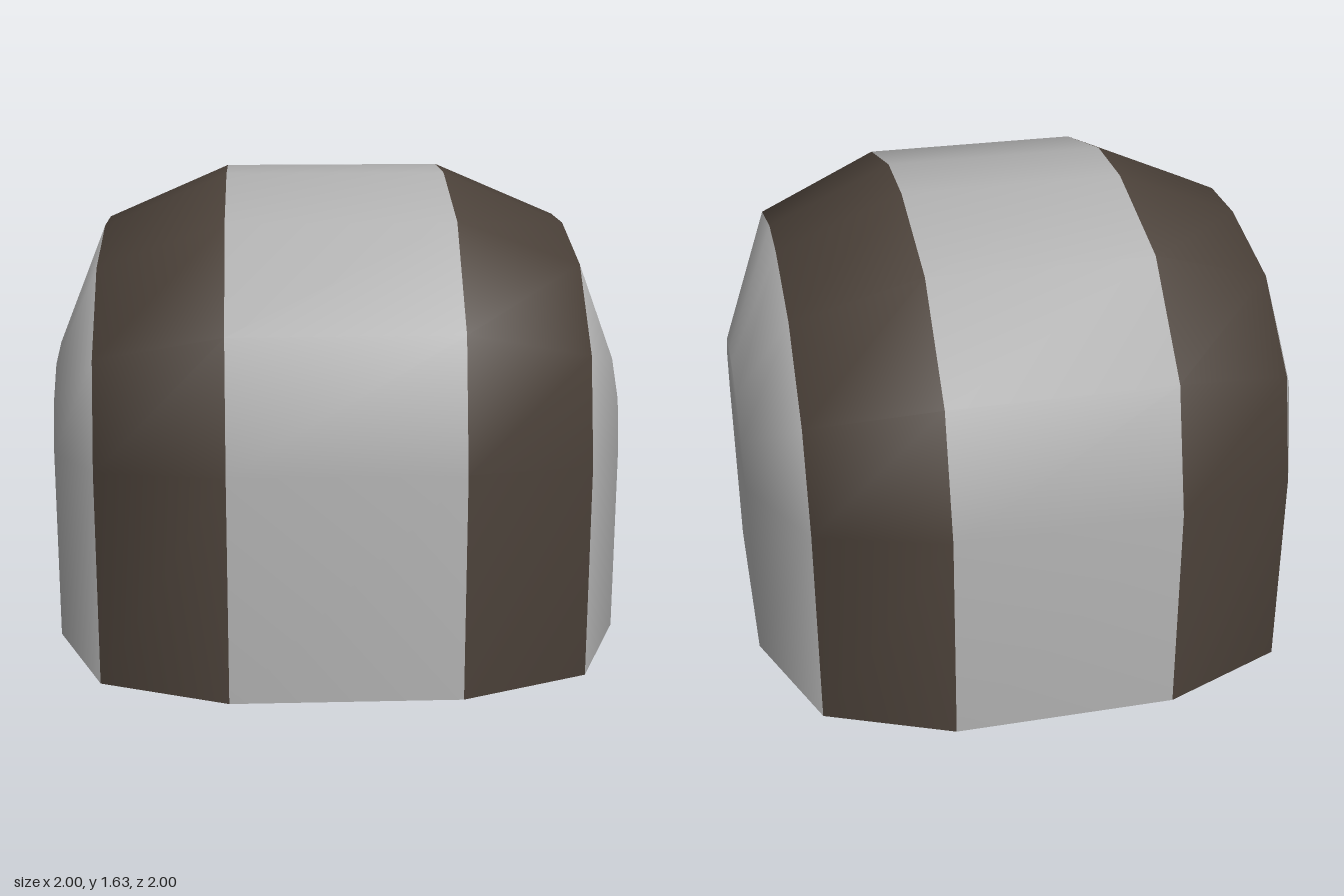
import * as THREE from 'three';

// Arch half-profile for unit width: [z, height above the straight wall]
const ARCH = [[1, 0], [0.89, 0.43], [0.577, 0.747], [0.14, 0.86]];
// Cross-sections across x: [x, half depth, wall height]
const HALF = [[0.385, 1, 0.77], [0.82, 0.82, 0.74], [1, 0.38, 0.68]];
const SECTIONS = [...HALF.map(([x, r, h]) => [-x, r, h]).reverse(), ...HALF];

// Points of one arch from the front foot, over the top, to the back foot
function archPoints([x, r, h]) {
  const front = [[x, 0, r], ...ARCH.map(([z, y]) => [x, h + y * r, z * r])];
  const back = front.map(([px, y, z]) => [px, y, -z]).reverse();
  return [...front, ...back];
}

function shellGeometry() {
  const rows = SECTIONS.map(archPoints);
  const n = rows[0].length;
  const last = rows.length - 1;
  const geo = new THREE.BufferGeometry();
  const index = [];
  const quad = (a, b, c, d) => index.push(a, b, c, a, c, d);
  const close = (start, material) => geo.addGroup(start, index.length - start, material);

  // Stripes: pale end, dark, pale centre, dark, pale end
  for (let i = 0; i < last; i++) {
    const start = index.length;
    for (let j = 0; j < n - 1; j++) {
      const a = i * n + j;
      quad(a, a + n, a + n + 1, a + 1);
    }
    close(start, i % 2);
  }

  // Flat end faces, sharing vertices with the shell for soft shading
  const start = index.length;
  for (let j = 0; j < n / 2 - 1; j++) {
    const k = n - 1 - j;
    const o = last * n;
    quad(o + j, o + k, o + k - 1, o + j + 1);
    quad(k, j, j + 1, k - 1);
  }
  close(start, 0);

  geo.setAttribute('position', new THREE.Float32BufferAttribute(rows.flat(2), 3));
  geo.setIndex(index);
  geo.computeVertexNormals();
  return geo;
}

// Flat underside joining the feet of all arches
function baseGeometry() {
  const outline = [
    ...SECTIONS.map(([x, r]) => new THREE.Vector2(x, -r)),
    ...[...SECTIONS].reverse().map(([x, r]) => new THREE.Vector2(x, r)),
  ];
  return new THREE.ShapeGeometry(new THREE.Shape(outline)).rotateX(Math.PI / 2);
}

export function createModel() {
  const grey = new THREE.MeshStandardMaterial({ color: 0xb0b0b0 });
  grey.name = 'pale grey';
  const brown = new THREE.MeshStandardMaterial({ color: 0x4a4038 });
  brown.name = 'dark brown';

  const model = new THREE.Group();
  model.name = 'stripedDome';

  const shell = new THREE.Mesh(shellGeometry(), [grey, brown]);
  shell.name = 'stripedShell';
  const base = new THREE.Mesh(baseGeometry(), grey);
  base.name = 'base';
  model.add(shell, base);
  return model;
}
